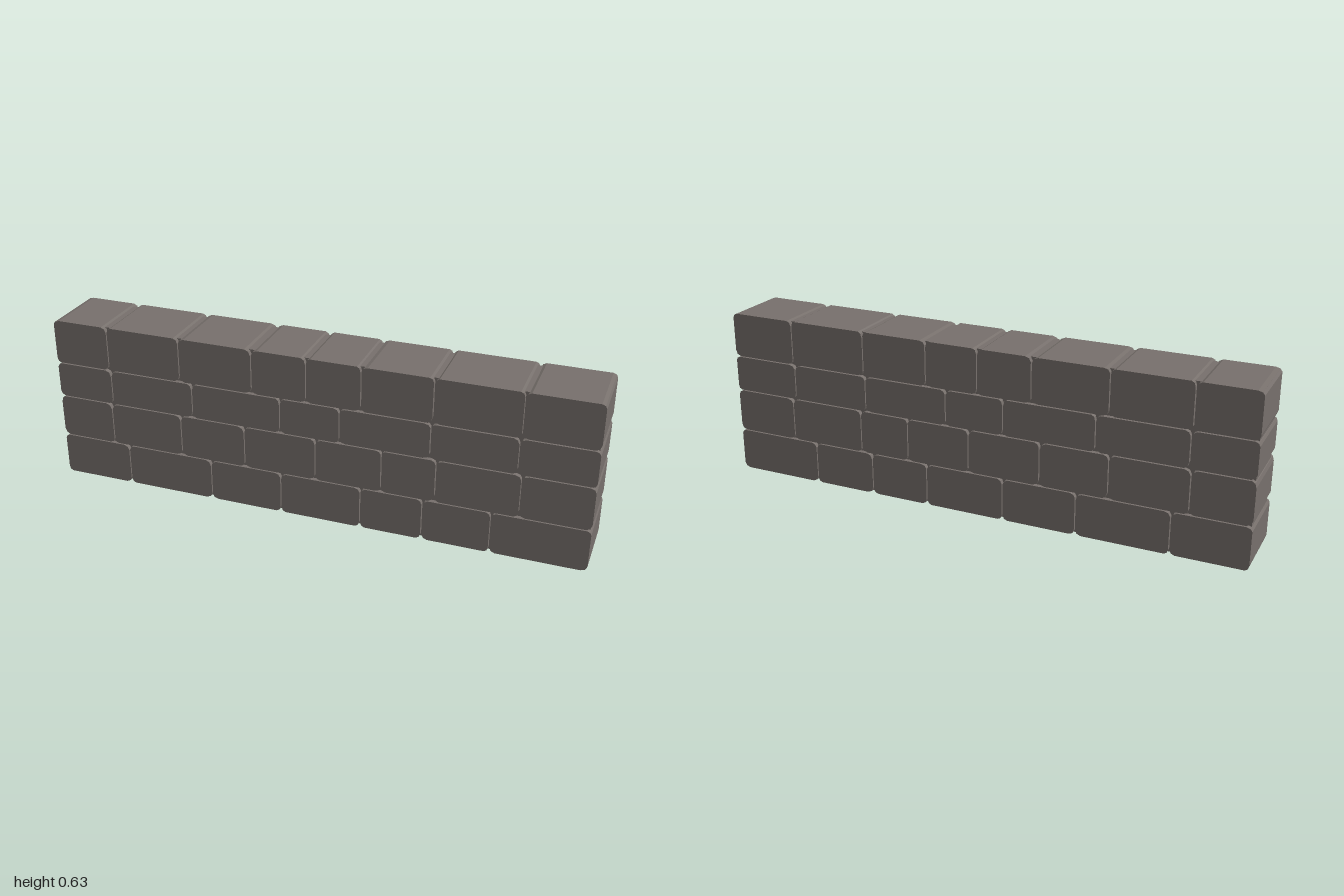
import * as THREE from 'three';

const DEPTH = 0.25;
const GAP = 0.002; // half of the open joint between neighbouring stones

// Each course: bottom, top and the x positions of its upright joints
const COURSES = [
  { y0: 0, y1: 0.157, joints: [-0.727, -0.388, -0.112, 0.19, 0.417, 0.66] },
  { y0: 0.161, y1: 0.321, joints: [-0.786, -0.503, -0.251, 0.021, 0.265, 0.46, 0.754] },
  { y0: 0.325, y1: 0.457, joints: [-0.778, -0.452, -0.112, 0.11, 0.436, 0.738] },
  { y0: 0.461, y1: 0.627, joints: [-0.783, -0.497, -0.217, -0.013, 0.187, 0.441, 0.743] },
];

// Small seeded generator for the worn corners
function seeded(seed) {
  return () => {
    seed = (seed * 16807) % 2147483647;
    return seed / 2147483647;
  };
}

// Block outline with four worn, two-facet corners, pushed through the wall
function stoneGeometry(x0, x1, y0, y1, random) {
  const corners = [
    [x0, y0, 1, 1], [x1, y0, -1, 1], [x1, y1, -1, -1], [x0, y1, 1, -1],
  ];
  const points = [];
  corners.forEach(([x, y, sx, sy], i) => {
    const cx = 0.013 + 0.01 * random();
    const cy = 0.013 + 0.01 * random();
    const cut = [
      new THREE.Vector2(x, y + sy * cy),
      new THREE.Vector2(x + sx * cx * 0.3, y + sy * cy * 0.3),
      new THREE.Vector2(x + sx * cx, y),
    ];
    points.push(...(i % 2 ? cut.reverse() : cut));
  });
  const geometry = new THREE.ExtrudeGeometry(new THREE.Shape(points), {
    depth: DEPTH, bevelEnabled: false,
  });
  return geometry.translate(0, 0, -DEPTH / 2);
}

export function createModel() {
  const wall = new THREE.Group();
  wall.name = 'stoneWall';
  const stone = new THREE.MeshStandardMaterial({ color: 0x77706c });
  stone.name = 'warm grey stone';
  const random = seeded(4711);

  // Stone courses
  COURSES.forEach(({ y0, y1, joints }, row) => {
    const course = new THREE.Group();
    course.name = `course${row + 1}`;
    const edges = [-1 - GAP, ...joints, 1 + GAP];
    for (let i = 0; i < edges.length - 1; i++) {
      const block = new THREE.Mesh(
        stoneGeometry(edges[i] + GAP, edges[i + 1] - GAP, y0, y1, random), stone);
      block.name = `stone${i + 1}`;
      course.add(block);
    }
    wall.add(course);
  });

  // Recessed mortar core seen in the joints
  const core = new THREE.Mesh(new THREE.BoxGeometry(1.986, 0.62, 0.216), stone);
  core.name = 'mortarCore';
  core.position.y = 0.313;
  wall.add(core);

  return wall;
}
